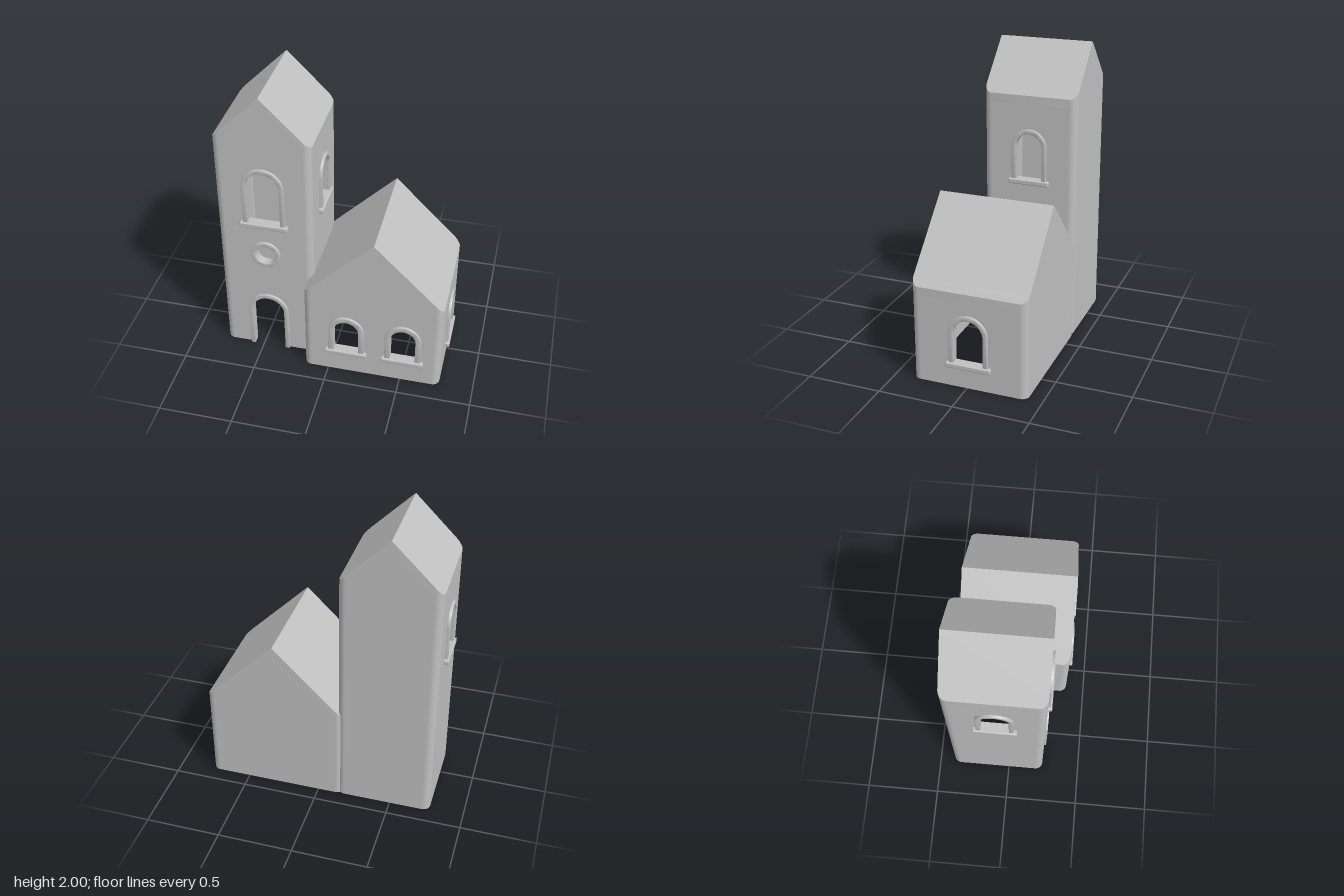
import * as THREE from 'three';
import { toCreasedNormals } from 'three/addons/utils/BufferGeometryUtils.js';
import { RoundedBoxGeometry } from 'three/addons/geometries/RoundedBoxGeometry.js';

const WALL = 0.04;        // wall thickness
const ROOF = 0.055;       // roof thickness measured vertically
const R = 0.05;           // radius of the upright corners
const stone = new THREE.MeshStandardMaterial({ color: 0xc0c0c0 });
stone.name = 'grey stone';

function addMesh(parent, name, geometry) {
  const mesh = new THREE.Mesh(geometry, stone);
  mesh.name = name;
  parent.add(mesh);
  return mesh;
}

const extrude = (shape, depth, extra = {}) =>
  new THREE.ExtrudeGeometry(shape, { depth, bevelEnabled: false, curveSegments: 16, ...extra });

// Extrudes a ground plan upwards and then moves every height by a rule
function raisePlan(shape, height, rule) {
  const g = extrude(shape, height).rotateX(-Math.PI / 2);
  const p = g.attributes.position;
  for (let i = 0; i < p.count; i++) p.setY(i, rule(p.getX(i), p.getY(i)));
  g.computeVertexNormals();
  return toCreasedNormals(g, 0.5);
}

// Continues a path along an arched outline, up one side and down the other
function arch(path, { x, bottom, top, half }, grow = 0) {
  const h = half + grow, spring = top - half;
  path.lineTo(x - h, bottom);
  path.lineTo(x - h, spring);
  path.absarc(x, spring, h, Math.PI, 0, true);
  path.lineTo(x + h, bottom);
  return path;
}

function openingPath(o) {
  const path = new THREE.Path();
  if (o.kind === 'round') {
    path.absarc(o.x, o.y, o.half, 0, Math.PI * 2, true);
  } else {
    path.moveTo(o.x - o.half, o.bottom);
    arch(path, o);
    path.closePath();
  }
  return path;
}

// Raised frame around an opening, plus a sill under windows
function addTrim(parent, o) {
  const shape = new THREE.Shape();
  if (o.kind === 'round') {
    shape.absarc(o.x, o.y, o.half + o.frame, 0, Math.PI * 2, false);
    shape.holes.push(openingPath(o));
  } else {
    shape.moveTo(o.x - o.half - o.frame, o.bottom);
    arch(shape, o, o.frame);
    shape.lineTo(o.x + o.half, o.bottom);
    shape.lineTo(o.x + o.half, o.top - o.half);
    shape.absarc(o.x, o.top - o.half, o.half, 0, Math.PI, false);
    shape.lineTo(o.x - o.half, o.bottom);
    shape.closePath();
  }
  const b = 0.004;
  const g = extrude(shape, 0.02, {
    bevelEnabled: true, bevelSize: b, bevelThickness: b, bevelOffset: -b, bevelSegments: 2,
  });
  g.translate(0, 0, -0.006);
  addMesh(parent, o.kind + 'Frame', toCreasedNormals(g, 0.6));
  if (o.kind === 'window') {
    const width = 2 * (o.half + o.frame) + 0.042;
    addMesh(parent, 'windowSill', new RoundedBoxGeometry(width, 0.034, 0.06, 3, 0.008))
      .position.set(o.x, o.bottom - 0.017, 0);
  }
}

// One wall whose outer face lies at the given distance, turned to its side
function addWall(parent, name, shape, distance, turn, openings) {
  const wall = new THREE.Group();
  wall.name = name;
  wall.rotation.y = turn;
  parent.add(wall);
  for (const o of openings) if (o.kind !== 'door') shape.holes.push(openingPath(o));
  addMesh(wall, name + 'Panel', toCreasedNormals(extrude(shape, WALL), 0.5))
    .position.z = distance - WALL;
  const trim = new THREE.Group();
  trim.name = name + 'Trim';
  trim.position.z = distance;
  wall.add(trim);
  openings.forEach((o) => addTrim(trim, o));
}

// Hollow gabled building with rounded corners, open underneath
function building(name, hw, hd, ridge, { front = [], right = [], left = [] }) {
  const group = new THREE.Group();
  group.name = name;
  const under = (x) => ridge - ROOF - Math.abs(x);

  // Gable walls
  for (const [label, turn, openings] of [['frontWall', 0, front], ['backWall', Math.PI, []]]) {
    const w = hw - R;
    const s = new THREE.Shape();
    s.moveTo(-w, 0);
    const door = openings.find((o) => o.kind === 'door');
    if (door) arch(s, door);
    s.lineTo(w, 0);
    s.lineTo(w, under(w));
    s.lineTo(0, under(0));
    s.lineTo(-w, under(w));
    s.closePath();
    addWall(group, label, s, hd, turn, openings);
  }

  // Side walls
  for (const [label, turn, openings] of [['leftWall', Math.PI / 2, left], ['rightWall', -Math.PI / 2, right]]) {
    const w = hd - R, h = under(hw);
    const s = new THREE.Shape([[-w, 0], [w, 0], [w, h], [-w, h]].map((p) => new THREE.Vector2(...p)));
    addWall(group, label, s, hw, turn, openings);
  }

  // Roof slope over half of the rounded plan
  const plan = new THREE.Shape();
  plan.moveTo(0, -hd);
  plan.lineTo(hw - R, -hd);
  plan.absarc(hw - R, R - hd, R, -Math.PI / 2, 0, false);
  plan.absarc(hw - R, hd - R, R, 0, Math.PI / 2, false);
  plan.lineTo(0, hd);
  plan.closePath();
  const slope = raisePlan(plan, ROOF, (x, y) => y + under(x));

  // Rounded corners that end under the roof
  const corners = [[1, 0], [-1, -Math.PI / 2]].map(([side, a]) => {
    const s = new THREE.Shape();
    const cy = side * (hd - R);
    s.absarc(hw - R, cy, R, a, a + Math.PI / 2, false);
    s.absarc(hw - R, cy, R - WALL, a + Math.PI / 2, a, true);
    s.closePath();
    return raisePlan(s, 1, (x, y) => y * under(x));
  });

  for (const turn of [0, Math.PI]) {
    addMesh(group, 'roofSlope', slope).rotation.y = turn;
    corners.forEach((c) => { addMesh(group, 'wallCorner', c).rotation.y = turn; });
  }
  return group;
}

const windowAt = (x, bottom, top, half, frame = 0.03) => ({ kind: 'window', x, bottom, top, half, frame });

export function createModel() {
  const model = new THREE.Group();
  model.name = 'church';

  const belfry = [windowAt(0, 1.11, 1.425, 0.09)];
  const tower = building('tower', 0.32, 0.32, 2, {
    front: [
      { kind: 'door', x: 0, bottom: 0, top: 0.435, half: 0.11, frame: 0.03 },
      { kind: 'round', x: 0, y: 0.82, half: 0.07, frame: 0.03 },
      windowAt(0, 1.074, 1.465, 0.11),
    ],
    left: belfry,
    right: belfry,
  });
  tower.position.set(-0.452, 0, -0.08);

  const hall = building('hall', 0.47, 0.387, 1.118, {
    front: [-0.175, 0.213].map((x) => windowAt(x, 0.193, 0.45, 0.085, 0.037)),
    left: [windowAt(0, 0.173, 0.476, 0.1)],
  });
  hall.position.set(0.3, 0, -0.015);

  model.add(tower, hall);
  return model;
}
